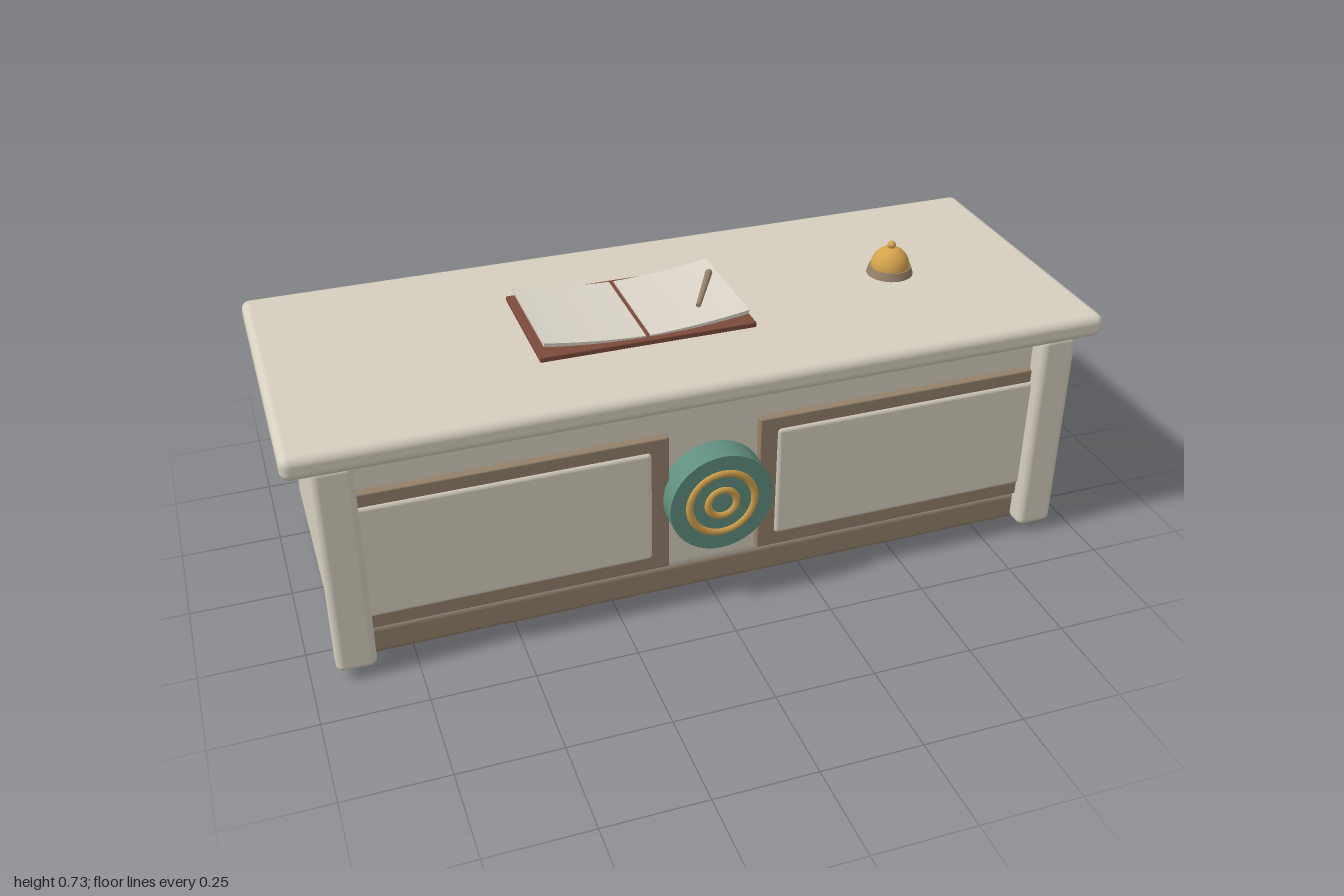
import * as THREE from 'three';
import { RoundedBoxGeometry } from 'three/addons/geometries/RoundedBoxGeometry.js';

const paint = (name, color) => {
  const m = new THREE.MeshStandardMaterial({ color });
  m.name = name;
  return m;
};

export function createModel() {
  const model = new THREE.Group();
  model.name = 'receptionDesk';
  const stone = paint('warm stone', 0xd6cfbf);
  const trim = paint('taupe trim', 0x94816a);
  const teal = paint('teal', 0x5f8f7f);
  const gold = paint('gold', 0xd4a34d);
  const leather = paint('red brown leather', 0x7c4a3a);
  const paper = paint('paper', 0xdad4c7);

  const add = (name, geometry, material, x = 0, y = 0, z = 0, parent = model) => {
    const mesh = new THREE.Mesh(geometry, material);
    mesh.name = name;
    mesh.position.set(x, y, z);
    parent.add(mesh);
    return mesh;
  };
  // Rounded box given by its min and max on each axis
  const block = (name, material, [x0, x1], [y0, y1], [z0, z1], radius) =>
    add(name, new RoundedBoxGeometry(x1 - x0, y1 - y0, z1 - z0, 3, radius), material,
      (x0 + x1) / 2, (y0 + y1) / 2, (z0 + z1) / 2);

  // Desk carcass
  block('plinth', trim, [-0.92, 0.92], [0, 0.085], [-0.323, 0.303], 0.018);
  block('body', stone, [-0.93, 0.93], [0.07, 0.595], [-0.333, 0.317], 0.035);
  block('counterTop', stone, [-1, 1], [0.577, 0.637], [-0.394, 0.393], 0.022);

  // Corner posts and framed front panels
  for (const s of [-1, 1]) {
    const side = s < 0 ? 'right' : 'left';
    const span = (a, b) => (s < 0 ? [-b, -a] : [a, b]);
    block(side + 'Post', stone, span(0.845, 0.94), [0.024, 0.585], [0.315, 0.375], 0.018);
    block(side + 'PanelFrame', trim, span(0.115, 0.87), [0.107, 0.482], [0.3, 0.337], 0.004);
    block(side + 'Panel', stone, span(0.158, 0.885), [0.142, 0.45], [0.3, 0.343], 0.012);
  }

  // Round medallion with two gold rings
  const medallion = new THREE.Group();
  medallion.name = 'medallion';
  medallion.position.set(0, 0.305, 0);
  model.add(medallion);
  const disc = add('medallionDisc', new THREE.CylinderGeometry(0.131, 0.131, 0.08, 40), teal, 0, 0, 0.35, medallion);
  disc.rotation.x = Math.PI / 2;
  for (const r of [0.036, 0.083]) {
    add('medallionRing', new THREE.TorusGeometry(r, 0.011, 10, 40), gold, 0, 0, 0.385, medallion);
  }

  // Open guest book: cover and two curled page slabs
  const bookX = -0.103;
  block('bookCover', leather, [-0.373, 0.167], [0.636, 0.65], [-0.166, 0.166], 0.003);
  for (const s of [-1, 1]) {
    const page = new THREE.Shape();
    page.moveTo(s * 0.006, 0.650);
    page.quadraticCurveTo(s * 0.13, 0.650, s * 0.256, 0.668);
    page.lineTo(s * 0.256, 0.678);
    page.quadraticCurveTo(s * 0.13, 0.657, s * 0.006, 0.654);
    page.closePath();
    const geometry = new THREE.ExtrudeGeometry(page, { depth: 0.3, bevelEnabled: false, curveSegments: 8 });
    add(s < 0 ? 'rightPages' : 'leftPages', geometry, paper, bookX, 0, -0.15);
  }

  // Pen lying across the page
  const penStart = new THREE.Vector3(0.05, 0.671, 0.075);
  const penEnd = new THREE.Vector3(0.128, 0.684, -0.063);
  const penPath = new THREE.Vector3().subVectors(penEnd, penStart);
  const pen = add('pen', new THREE.CylinderGeometry(0.009, 0.006, penPath.length(), 10), trim);
  pen.position.copy(penStart).add(penEnd).multiplyScalar(0.5);
  pen.quaternion.setFromUnitVectors(new THREE.Vector3(0, 1, 0), penPath.normalize());

  // Service bell
  const bell = new THREE.Group();
  bell.name = 'bell';
  bell.position.set(0.603, 0.637, 0);
  model.add(bell);
  add('bellBase', new THREE.CylinderGeometry(0.054, 0.06, 0.021, 32), trim, 0, 0.0095, 0, bell);
  const dome = add('bellDome', new THREE.SphereGeometry(0.05, 32, 12, 0, Math.PI * 2, 0, Math.PI / 2), gold, 0, 0.019, 0, bell);
  dome.scale.y = 1.04;
  add('bellButton', new THREE.SphereGeometry(0.011, 16, 10), gold, 0, 0.077, 0, bell);

  return model;
}
